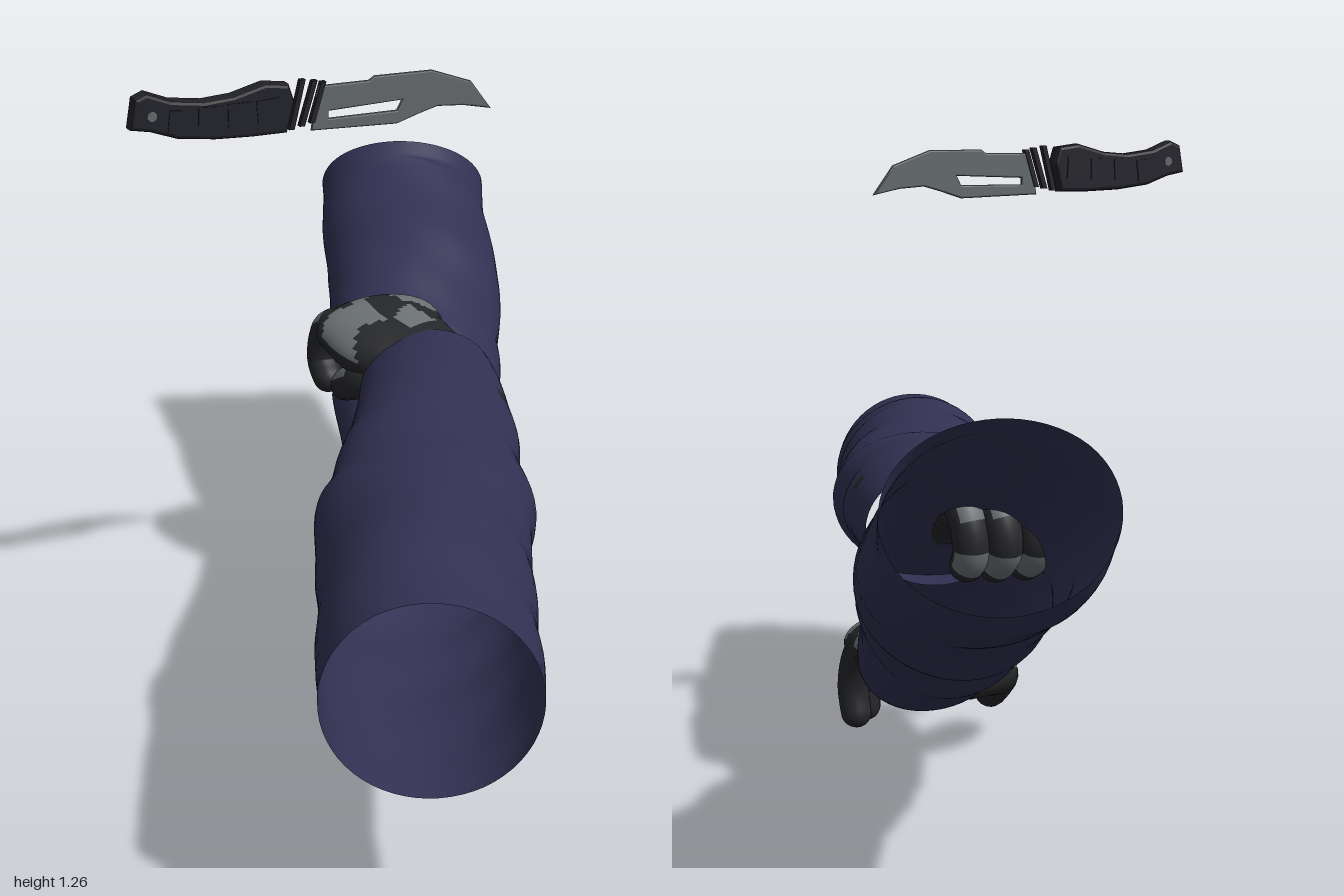
import * as THREE from 'three';

const mat = (name, color, side = THREE.FrontSide) => {
  const m = new THREE.MeshStandardMaterial({ color, side });
  m.name = name;
  return m;
};

// Sweeps an elliptical section along control points [x, y, z, sideRadius, upRadius].
// bump(v, angle) scales the radius; accent(v, angle, point) picks the second material.
function loft(name, pts, mats, { rings = 24, sides = 20, closed = true, bump, accent } = {}) {
  const curve = new THREE.CatmullRomCurve3(pts.map((p) => new THREE.Vector3(p[0], p[1], p[2])));
  const length = curve.getLength();
  const pos = [], main = [], patch = [];
  const p = new THREE.Vector3();
  for (let i = 0; i <= rings; i++) {
    const v = closed ? (1 - Math.cos((Math.PI * i) / rings)) / 2 : i / rings;
    const c = curve.getPointAt(v), t = curve.getTangentAt(v);
    const side = new THREE.Vector3(1, 0, 0).addScaledVector(t, -t.x).normalize();
    const up = new THREE.Vector3().crossVectors(t, side);
    const f = curve.getUtoTmapping(v) * (pts.length - 1);
    const k = Math.min(Math.floor(f), pts.length - 2);
    let rs = THREE.MathUtils.lerp(pts[k][3], pts[k + 1][3], f - k);
    let ru = THREE.MathUtils.lerp(pts[k][4], pts[k + 1][4], f - k);
    if (closed) {
      // rounded ends
      const d = Math.min(1, (Math.min(v, 1 - v) * length) / ru);
      const s = Math.max(0.01, Math.sqrt(1 - (1 - d) ** 2));
      rs *= s;
      ru *= s;
    }
    for (let j = 0; j < sides; j++) {
      const a = (j / sides) * Math.PI * 2, b = bump ? bump(v, a) : 1;
      p.copy(c).addScaledVector(side, Math.cos(a) * rs * b).addScaledVector(up, Math.sin(a) * ru * b);
      pos.push(p.x, p.y, p.z);
      if (i === rings) continue;
      const n = (j + 1) % sides, q = i * sides;
      const list = accent && accent(v, a, p) ? patch : main;
      list.push(q + j, q + n, q + sides + j, q + n, q + sides + n, q + sides + j);
    }
  }
  const g = new THREE.BufferGeometry();
  g.setAttribute('position', new THREE.Float32BufferAttribute(pos, 3));
  g.setIndex([...main, ...patch]);
  g.addGroup(0, main.length, 0);
  g.addGroup(main.length, patch.length, 1);
  g.computeVertexNormals();
  const mesh = new THREE.Mesh(g, accent ? mats : mats[0]);
  mesh.name = name;
  return mesh;
}

// Irregular cloth folds, fading at the openings
const folds = (seed) => (v, a) => {
  const amp = 0.3 + 0.7 * Math.sin(Math.PI * v);
  const crease = 1 - 2 * Math.abs(Math.sin(a + 9 * v + seed + 0.8 * Math.sin(11 * v)));
  const broad = Math.sin(2 * a - 17 * v + seed) * Math.sin(7 * v + a + seed);
  return 1 + amp * (0.02 * crease + 0.03 * broad + 0.012 * Math.sin(3 * a + 37 * v));
};

function shapeFrom(points) {
  return new THREE.Shape(points.map(([x, y]) => new THREE.Vector2(x, y)));
}

function slab(name, shape, z, depth, bevel, material) {
  const g = new THREE.ExtrudeGeometry(shape, {
    depth: depth - 2 * bevel, bevelEnabled: bevel > 0, bevelThickness: bevel,
    bevelSize: bevel, bevelOffset: -bevel, bevelSegments: 2,
  });
  g.translate(0, 0, z - depth / 2 + bevel);
  const mesh = new THREE.Mesh(g, material);
  mesh.name = name;
  return mesh;
}

// Glove: palm, fingers and thumb; back is +1 or -1 for the side of the knuckles
function glove(name, palm, fingers, thumb, back, mats) {
  const group = new THREE.Group();
  group.name = name;
  const outer = (a) => Math.sin(a) * back > 0.1;
  const camo = (v, a, p) => outer(a) && v > 0.42 &&
    Math.sin(p.x * 42 + p.z * 18 + 1) + Math.sin(p.z * 48 - p.x * 21) + 0.5 * Math.sin(p.x * 90) > 0.75 - 1.2 * v;
  const bands = (v, a) => outer(a) && ((v > 0.14 && v < 0.36 && Math.cos(a) < 0.6) || (v > 0.6 && v < 0.78));
  const thumbPatch = (v, a) => outer(a) && v > 0.4 && v < 0.7;
  group.add(loft('palm', palm, mats, { rings: 60, sides: 60, accent: camo }));
  fingers.forEach((f, i) => group.add(loft('finger' + (i + 1), f, mats, { rings: 32, sides: 18, accent: bands })));
  group.add(loft('thumb', thumb, mats, { rings: 24, sides: 18, accent: thumbPatch }));
  return group;
}

export function createModel() {
  const root = new THREE.Group();
  const cloth = mat('navy cloth', 0x323153, THREE.DoubleSide);
  const black = mat('black glove', 0x26272a, THREE.DoubleSide);
  const grey = mat('grey glove patch', 0x6b7073);
  const grip = mat('grip black', 0x212129);
  const steel = mat('blade steel', 0x626869);

  // Left arm reaches forward, right arm lies across it pointing back; small dark tabs near the cuffs
  const sleeve = { rings: 96, sides: 60, closed: false };
  root.add(loft('leftSleeve', [
    [0.383, 0.703, -0.91, 0.19, 0.165], [0.362, 0.663, -0.855, 0.19, 0.163], [0.275, 0.565, -0.6, 0.19, 0.155],
    [0.187, 0.47, -0.4, 0.184, 0.153], [0.11, 0.368, -0.2, 0.165, 0.142],
    [0.05, 0.262, 0, 0.14, 0.118], [0.018, 0.228, 0.075, 0.126, 0.1],
  ], [cloth, black], {
    ...sleeve, bump: folds(0.5),
    accent: (v, a) => v > 0.93 && v < 0.955 && a > 0.4 && a < 0.75,
  }));
  root.add(loft('rightSleeve', [
    [-0.38, 0.475, 0.922, 0.18, 0.183], [-0.265, 0.495, 0.65, 0.188, 0.178],
    [-0.15, 0.505, 0.4, 0.198, 0.16], [-0.035, 0.525, 0.17, 0.165, 0.138],
    [0.045, 0.54, 0, 0.15, 0.12], [0.105, 0.538, -0.15, 0.135, 0.11],
  ], [cloth, black], {
    ...sleeve, bump: folds(2.1),
    accent: (v, a) => v > 0.8 && v < 0.825 && a > 5.6 && a < 5.85,
  }));

  // Open left hand; each row is knuckle, joint, joint, tip
  const finger = (pts) => pts.map((p, i) => [...p, 0.038 - i * 0.002, 0.037 - i * 0.002]);
  root.add(glove('leftGlove', [
    [0.025, 0.23, -0.01, 0.09, 0.065], [0, 0.222, 0.12, 0.102, 0.076],
    [-0.03, 0.215, 0.21, 0.128, 0.078], [-0.05, 0.222, 0.29, 0.14, 0.064],
    [-0.055, 0.215, 0.345, 0.13, 0.045],
  ], [
    finger([[-0.14, 0.235, 0.27], [-0.165, 0.215, 0.35], [-0.185, 0.15, 0.4], [-0.2, 0.09, 0.4]]),
    finger([[-0.085, 0.24, 0.29], [-0.095, 0.22, 0.38], [-0.105, 0.14, 0.44], [-0.11, 0.04, 0.445]]),
    finger([[-0.015, 0.235, 0.29], [-0.02, 0.205, 0.38], [-0.025, 0.12, 0.445], [-0.03, 0.008, 0.45]]),
    finger([[0.04, 0.225, 0.25], [0.05, 0.195, 0.31], [0.052, 0.12, 0.34], [0.048, 0.03, 0.325]]),
  ], [
    [-0.03, 0.19, 0.06, 0.045, 0.055], [-0.155, 0.175, 0.11, 0.05, 0.05],
    [-0.21, 0.14, 0.18, 0.04, 0.04], [-0.228, 0.075, 0.265, 0.032, 0.032],
  ], 1, [black, grey]));

  // Curled right hand
  const curled = [-0.03, 0.028, 0.09, 0.147].map((x, i) => {
    const s = [0, 0.012, 0.005, -0.015][i];
    return finger([[x, 0.635, -0.29], [x - 0.005, 0.6, -0.35 - s], [x - 0.01, 0.53, -0.365 - s], [x - 0.01, 0.48, -0.31]]);
  });
  root.add(glove('rightGlove', [
    [0.1, 0.55, -0.06, 0.085, 0.065], [0.09, 0.58, -0.16, 0.105, 0.07],
    [0.062, 0.6, -0.24, 0.132, 0.07], [0.055, 0.615, -0.31, 0.138, 0.062],
    [0.055, 0.6, -0.355, 0.13, 0.045],
  ], curled, [
    [0.03, 0.56, -0.14, 0.04, 0.045], [-0.02, 0.54, -0.2, 0.042, 0.04],
    [-0.03, 0.51, -0.26, 0.034, 0.034], [-0.01, 0.48, -0.31, 0.028, 0.028],
  ], -1, [black, grey]));

  // Knife floating above
  const knife = new THREE.Group();
  knife.name = 'knife';
  const z = 0.055;
  knife.add(slab('handle', shapeFrom([
    [-0.567, 1.2], [-0.557, 1.255], [-0.535, 1.264], [-0.49, 1.246], [-0.43, 1.238],
    [-0.375, 1.242], [-0.315, 1.258], [-0.27, 1.252], [-0.26, 1.22], [-0.275, 1.163],
    [-0.34, 1.163], [-0.41, 1.166], [-0.48, 1.175], [-0.53, 1.193],
  ]), z, 0.034, 0.007, grip));
  // raised grip panels on both faces
  for (let i = 0; i < 4; i++) {
    const panel = new THREE.Mesh(new THREE.BoxGeometry(0.045, 0.042, 0.038), grip);
    panel.position.set(-0.475 + i * 0.055, 1.206 + i * 0.001, z);
    panel.rotation.z = -0.12 + i * 0.06;
    panel.name = 'gripPanel';
    knife.add(panel);
  }
  const rivet = new THREE.Mesh(new THREE.CylinderGeometry(0.009, 0.009, 0.036, 16), steel);
  rivet.rotation.x = Math.PI / 2;
  rivet.position.set(-0.527, 1.222, z);
  rivet.name = 'rivet';
  knife.add(rivet);
  // slanted guard bars
  [[-0.268, -0.245], [-0.248, -0.222], [-0.228, -0.205]].forEach(([bottom, top], i) => {
    const lo = 1.165 + i * 0.004, hi = 1.255 - i * 0.004;
    knife.add(slab('guardBar', shapeFrom([
      [bottom, lo], [bottom + 0.01, lo], [top + 0.01, hi], [top, hi],
    ]), z, 0.012, 0, grip));
  });
  // clipped blade with a slot
  const blade = shapeFrom([
    [-0.225, 1.158], [-0.055, 1.152], [-0.01, 1.166], [0.027, 1.176], [0.08, 1.172], [0.137, 1.16],
    [0.095, 1.217], [0.015, 1.246], [-0.1, 1.247], [-0.11, 1.24], [-0.21, 1.24],
  ]);
  blade.holes.push(new THREE.Path([[-0.19, 1.178], [-0.19, 1.191], [-0.045, 1.196], [-0.055, 1.178]]
    .map(([x, y]) => new THREE.Vector2(x, y))));
  knife.add(slab('blade', blade, z, 0.008, 0.0035, steel));
  root.add(knife);
  return root;
}
